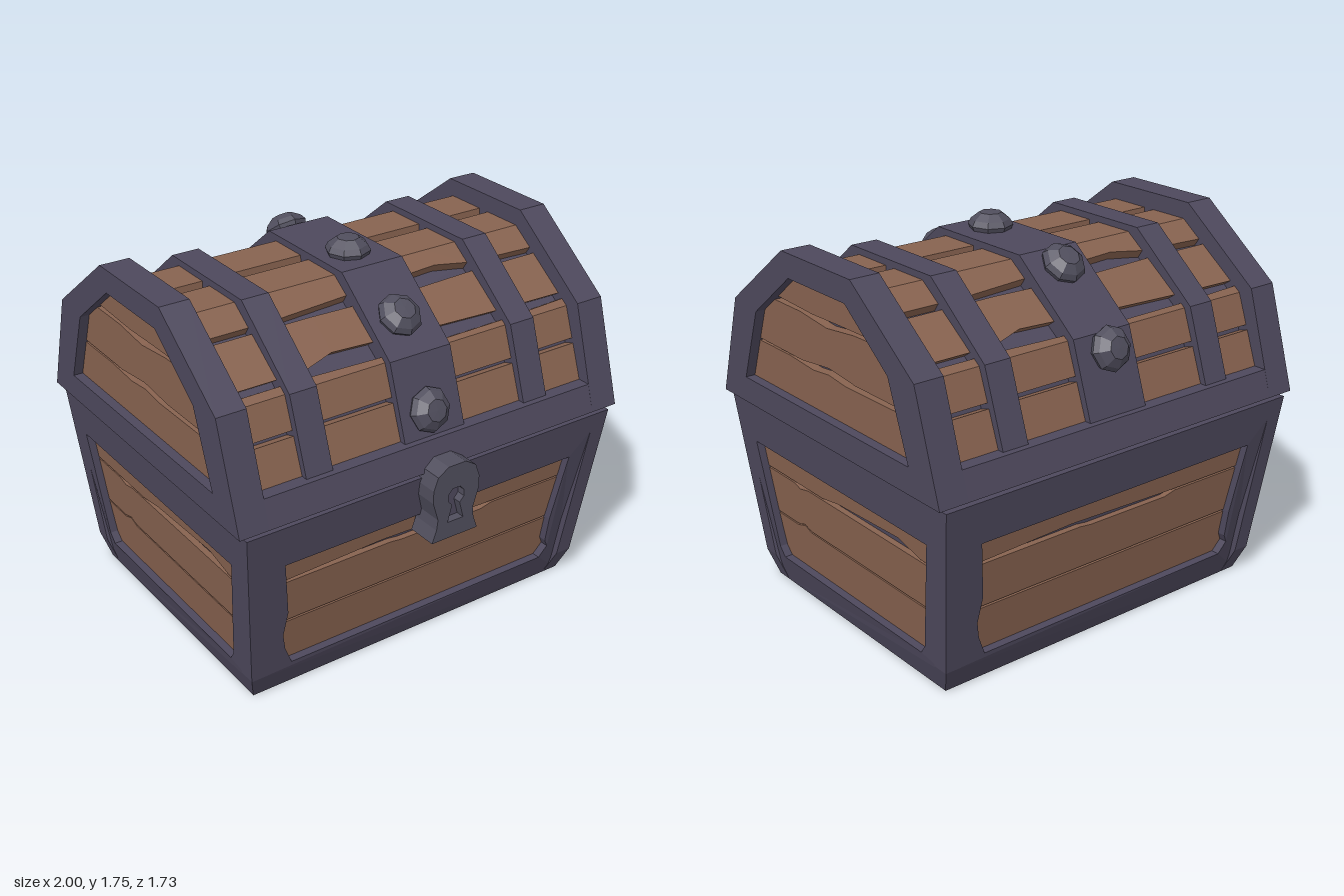
import * as THREE from 'three';

const mat = (color) => new THREE.MeshStandardMaterial({ color, flatShading: true });

export function createModel() {
  const metal = mat(0x4d485c), wood = mat(0x87624f), iron = mat(0x504e5d);
  const chest = new THREE.Group();
  chest.name = 'treasureChest';
  const CZ = -0.042; // centre of body and lid in z

  const group = (name, parent = chest) => {
    const g = new THREE.Group();
    g.name = name;
    parent.add(g);
    return g;
  };
  const add = (parent, name, geometry, material) => {
    const m = new THREE.Mesh(geometry, material);
    m.name = name;
    parent.add(m);
    return m;
  };
  const shapeOf = (pts, hole) => {
    const s = new THREE.Shape(pts.map(([x, y]) => new THREE.Vector2(x, y)));
    if (hole) s.holes.push(new THREE.Path(hole.map(([x, y]) => new THREE.Vector2(x, y))));
    return s;
  };
  const extrude = (pts, depth, hole) =>
    new THREE.ExtrudeGeometry(shapeOf(pts, hole), { depth, bevelEnabled: false, curveSegments: 6 });
  // mirrors a half outline (bottom to top) into a closed one
  const full = (half) => [...half, ...half.map(([h, y]) => [-h, y]).reverse()];
  // extrudes a (z, y) outline along x from x0 to x1
  const alongX = (pts, x0, x1, hole) =>
    extrude(pts, x1 - x0, hole).rotateY(Math.PI / 2).translate(x0, 0, 0);

  // ---------- body ----------
  const body = group('body');
  body.position.z = CZ;
  const Y = [0, 0.12, 0.91];
  const HX = [0.865, 0.9, 0.965], HZ = [0.657, 0.708, 0.815];
  const flare = (H, y) => {
    const i = y < Y[1] ? 0 : 1;
    return H[i] + ((H[i + 1] - H[i]) * (y - Y[i])) / (Y[i + 1] - Y[i]);
  };
  // leans a flat wall outwards so that it follows the flared outline
  const lean = (geo, H, inset, depth) => {
    const p = geo.attributes.position;
    for (let i = 0; i < p.count; i++)
      p.setZ(i, p.getZ(i) - depth - inset + flare(H, p.getY(i)));
    geo.computeVertexNormals();
    return geo;
  };

  // dark core behind the boards
  const core = new THREE.BoxGeometry(2, 1, 2, 1, 2, 1);
  const cp = core.attributes.position;
  for (let i = 0; i < cp.count; i++) {
    const y = Y[Math.round((cp.getY(i) + 0.5) * 2)];
    cp.setXYZ(i, cp.getX(i) * (flare(HX, y) - 0.065), Math.max(0.004, y - 0.004),
      cp.getZ(i) * (flare(HZ, y) - 0.065));
  }
  add(body, 'bodyCore', core, metal);

  const frontHole = [[-0.7, 0.145], [0.7, 0.145], [0.74, 0.2], [0.72, 0.24], [0.722, 0.37], [0.77, 0.71],
    [-0.77, 0.71], [-0.738, 0.44], [-0.755, 0.32], [-0.74, 0.24]];
  const sideHole = [[-0.54, 0.145], [0.54, 0.145], [0.572, 0.19], [0.657, 0.71], [-0.657, 0.71], [-0.572, 0.19]];
  // boards run slightly under the frame, with worn edges along the seams
  const frontBoards = [
    [[-0.8, 0.1], [0.8, 0.1], [0.8, 0.36], [-0.8, 0.36]],
    [[-0.8, 0.37], [0.8, 0.37], [0.8, 0.585], [0.36, 0.588], [0.3, 0.572], [-0.14, 0.575], [-0.2, 0.583], [-0.8, 0.583]],
    [[-0.8, 0.594], [0.8, 0.594], [0.8, 0.74], [-0.8, 0.74]],
  ];
  frontBoards[2].splice(1, 0, [-0.25, 0.615], [0.3, 0.598]);
  const sideBoards = [
    [[-0.66, 0.1], [0.66, 0.1], [0.66, 0.352], [-0.32, 0.352], [-0.37, 0.372], [-0.43, 0.352], [-0.66, 0.352]],
    [[-0.7, 0.36], [-0.43, 0.36], [-0.37, 0.377], [-0.32, 0.36], [0.7, 0.36], [0.7, 0.575], [-0.3, 0.575],
      [-0.37, 0.56], [-0.42, 0.575], [-0.7, 0.575]],
    [[-0.7, 0.584], [-0.18, 0.584], [-0.05, 0.605], [0.4, 0.625], [0.55, 0.586], [0.7, 0.584], [0.7, 0.74], [-0.7, 0.74]],
  ];
  ['front', 'left', 'back', 'right'].forEach((side, i) => {
    const long = i % 2 === 0;
    const [W, D] = long ? [HX, HZ] : [HZ, HX];
    const wall = group(side + 'Wall', body);
    wall.rotation.y = (i * Math.PI) / 2;
    const outline = full(Y.map((y, k) => [W[k], y]));
    const hole = long ? frontHole : sideHole;
    add(wall, side + 'Frame', lean(extrude(outline, 0.08, hole), D, 0, 0.08), metal);
    for (const b of long ? frontBoards : sideBoards)
      add(wall, side + 'Board', lean(extrude(b, 0.03), D, 0.035, 0.03), wood);
  });

  // ---------- lid ----------
  const lid = group('lid');
  lid.position.z = CZ;
  const endOuter = full([[0.82, 0.93], [0.67, 1.41], [0.255, 1.72]]);
  const endHole = full([[0.62, 1.05], [0.495, 1.39], [0.21, 1.61]]);
  const strapOutline = full([[0.77, 1.0], [0.635, 1.39], [0.285, 1.67]]);
  add(lid, 'lidCore', alongX(full([[0.7, 0.935], [0.56, 1.35], [0.2, 1.605]]), -0.91, 0.91), metal);
  add(lid, 'lidRail', alongX(full([[0.82, 0.93], [0.78, 1.055]]), -0.865, 0.865), metal);
  for (const [name, x, w] of [['rightStrap', -0.575, 0.13], ['middleStrap', 0.012, 0.315], ['leftStrap', 0.568, 0.13]])
    add(lid, name, alongX(strapOutline, x - w / 2, x + w / 2), metal);

  // arched end frames filled with worn boards
  const endBoards = [
    [[-0.66, 1.0], [0.66, 1.0], [0.66, 1.24], [0.45, 1.225], [0.12, 1.222], [0.0, 1.235], [-0.12, 1.222], [-0.3, 1.235], [-0.62, 1.235]],
    [[-0.6, 1.246], [-0.2, 1.242], [0.0, 1.265], [0.2, 1.246], [0.6, 1.246], [0.5, 1.42], [0.45, 1.47],
      [0.2, 1.463], [0.0, 1.44], [-0.2, 1.46], [-0.46, 1.46]],
    [[-0.44, 1.485], [-0.1, 1.472], [0.1, 1.478], [0.44, 1.482], [0.25, 1.64], [-0.25, 1.64]],
  ];
  for (const s of [1, -1]) {
    const end = group(s > 0 ? 'leftLidEnd' : 'rightLidEnd', lid);
    end.rotation.y = s > 0 ? 0 : Math.PI;
    add(end, 'lidEndFrame', alongX(endOuter, 0.86, 1, endHole), metal);
    for (const b of endBoards) add(end, 'lidEndBoard', alongX(b, 0.9, 0.955), wood);
  }

  // lid boards: outer edge points (z, y) lofted along x; wear rows are [x, low edge, high edge]
  const lidBoard = (pts, wear) => {
    const pos = [], idx = [], n = pts.length * 2;
    const mix = (a, b, t) => [a[0] + (b[0] - a[0]) * t, a[1] + (b[1] - a[1]) * t];
    wear.forEach(([x, lo, hi], r) => {
      const o = pts.slice();
      o[0] = mix(pts[0], pts[1], lo);
      o[o.length - 1] = mix(pts[pts.length - 1], pts[pts.length - 2], hi);
      const inner = o.map(([z, y]) => [z * 0.9, 0.9 + (y - 0.9) * 0.93]).reverse();
      for (const [z, y] of [...o, ...inner]) pos.push(x, y, z);
      if (r === 0) return;
      for (let j = 0; j < n; j++) {
        const a = (r - 1) * n + j, b = (r - 1) * n + ((j + 1) % n);
        idx.push(a, a + n, b, b, a + n, b + n);
      }
    });
    const g = new THREE.BufferGeometry();
    g.setAttribute('position', new THREE.Float32BufferAttribute(pos, 3));
    g.setIndex(idx);
    g.computeVertexNormals();
    return g;
  };
  const plain = [[-0.87, 0, 0], [0.87, 0, 0]];
  const lidBoards = [
    [[[0.74, 1.0], [0.661, 1.213]], plain],
    [[[0.652, 1.235], [0.6, 1.375], [0.568, 1.398]], [[-0.87, 0, 0], [-0.5, 0, 0], [0, 0, 0.4], [0.5, 0, 0.3], [0.87, 0, 0]]],
    [[[0.543, 1.416], [0.36, 1.547]],
      [[-0.87, 0, 0], [-0.51, 0, 0], [-0.35, 0.2, 0], [0.1, 0.1, 0.05], [0.51, 0.03, 0], [0.87, 0, 0]]],
    [[[0.335, 1.565], [0.23, 1.64], [0.03, 1.64]],
      [[-0.87, 0, 0], [-0.51, 0, 0], [0.34, 0.35, 0], [0.51, 0.1, 0], [0.87, 0, 0]]],
  ];
  for (const a of [0, Math.PI]) {
    const half = group(a ? 'backLidBoards' : 'frontLidBoards', lid);
    half.rotation.y = a;
    for (const [pts, wear] of lidBoards) add(half, 'lidBoard', lidBoard(pts, wear), wood);
  }

  // ---------- bolts on the middle strap: [z, y, tilt] ----------
  const studGeo = new THREE.LatheGeometry(
    [[0.085, -0.02], [0.102, 0.02], [0.088, 0.045], [0.05, 0.074], [0, 0.076]].map(([r, y]) => new THREE.Vector2(r, y)), 8);
  const steep = 1.24, slant = 0.675;
  for (const [z, y, tilt] of [[0.665, 1.16, steep], [0.45, 1.505, slant], [0.08, 1.67, 0],
    [-0.405, 1.61, -slant], [-0.705, 1.32, -steep]]) {
    const b = add(chest, 'bolt', studGeo, iron);
    b.position.set(0, y, z);
    b.rotation.x = tilt;
  }

  // ---------- lock plate with keyhole ----------
  const plate = full([[0.122, 0.63], [0.1, 0.69], [0.094, 0.74], [0.122, 0.83], [0.122, 0.89], [0.1, 0.95], [0.045, 0.984]]);
  const keyhole = full([[0.042, 0.71], [0.02, 0.79], [0.042, 0.815], [0.042, 0.845], [0.02, 0.87]]);
  const lock = add(chest, 'lockPlate', extrude(plate, 0.145, keyhole), iron);
  lock.position.set(0.013, 0, 0.72);
  const back = add(chest, 'keyholeBack', new THREE.BoxGeometry(0.11, 0.2, 0.08), metal);
  back.position.set(0.013, 0.79, 0.785);

  return chest;
}
